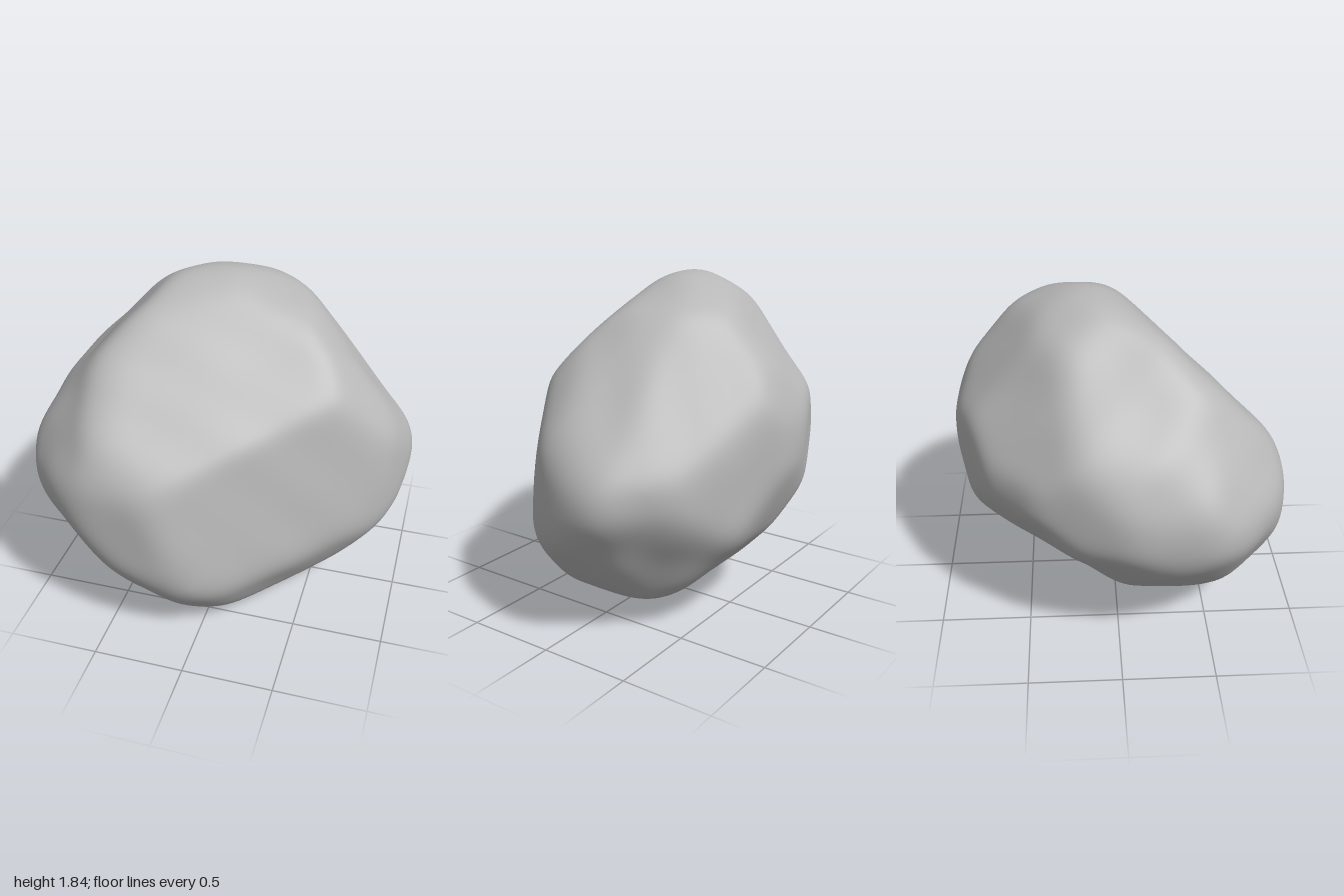
import * as THREE from 'three';
import { mergeVertices } from 'three/addons/utils/BufferGeometryUtils.js';

const CENTRE_Y = 0.915;
const D = Math.SQRT1_2, S = 0.354, C = 0.866;
const WEAR = 1.01; // spare stone, lost again when the edges are worn down

// Flat cuts that carve the boulder, each a normal and a distance from the middle
const cuts = [];
const addCut = (x, y, z, distance) => {
  cuts.push({ normal: new THREE.Vector3(x, y, z).normalize(), distance: distance * WEAR });
};

// A ring of evenly turned cuts, from axis u towards axis v
function addRing(u, v, distances) {
  distances.forEach((distance, i) => {
    const angle = (i / distances.length) * Math.PI * 2;
    const [x, y, z] = u.map((c, k) => c * Math.cos(angle) + v[k] * Math.sin(angle));
    addCut(x, y, z, distance);
  });
}

// Rings round the three main axes
addRing([1, 0, 0], [0, 1, 0], [1, .91, .82, .85, .915, .95, .87, .96, 1, .98, .86, .85, .915, .89, .94, 1.01]);
addRing([0, 0, 1], [0, 1, 0], [.87, .83, .75, .81, .915, .93, .93, .89, .87, .82, .8, .83, .915, 1.01, 1.06, .97]);
addRing([1, 0, 0], [0, 0, 1], [1, .88, .735, .76, .87, 1.02, 1.09, 1.1, 1, .91, .9, .84, .87, .85, .94, 1.03]);
// Tilted rings across the corners
addRing([D, 0, -D], [-S, C, -S], [.97, .905, .93, .925, 1.09, 1.01, .95, .945]);
addRing([-D, 0, D], [S, C, S], [1.08, .905, .77, .82, .97, .865, .78, .955]);
addRing([-D, 0, -D], [S, C, -S], [.87, .855, .91, .8, .76, .955, .99, .82]);
// Broad faces either side of the front ridge
addCut(.35, 1, 1, .61);
addCut(.56, .14, .815, .61);
// Upper corners: back left, front left, back right
addCut(-.61, .5, -.61, .84);
addCut(-.61, .5, .61, .95);
addCut(.61, .5, -.61, .82);
// Lower corners: front left, front right, back right
addCut(-.61, -.5, .61, 1.01);
addCut(.61, -.5, .61, .83);
addCut(.61, -.5, -.61, .89);
// Undercut at the back left
addCut(-.61, -.5, -.61, .76);
addCut(-.52, -.67, -.52, .71);

// Distance from the middle to the nearest cut in direction d
function radius(d) {
  let r = Infinity;
  for (const { normal, distance } of cuts) {
    const facing = normal.dot(d);
    if (facing > 0) r = Math.min(r, distance / facing);
  }
  return r;
}

// Wear the edges down by averaging each vertex with its neighbours
function wear(geometry, rounds) {
  const p = geometry.attributes.position, index = geometry.index.array;
  const near = Array.from({ length: p.count }, () => new Set());
  for (let i = 0; i < index.length; i += 3) {
    for (let k = 0; k < 3; k++) {
      near[index[i + k]].add(index[i + (k + 1) % 3]).add(index[i + (k + 2) % 3]);
    }
  }
  for (let n = 0; n < rounds; n++) {
    const old = p.array.slice();
    near.forEach((set, i) => {
      for (let c = 0; c < 3; c++) {
        let sum = 0;
        for (const j of set) sum += old[j * 3 + c];
        p.array[i * 3 + c] = 0.4 * old[i * 3 + c] + 0.6 * sum / set.size;
      }
    });
  }
}

// Shallow weathering lumps
function lump({ x, y, z }) {
  return 0.008 * Math.sin(9 * x + 4 * y) * Math.sin(8 * y - 5 * z + 1) * Math.sin(10 * z + 3 * x + 2);
}

// Move every vertex along its line from the middle
function scaleVertices(geometry, factor) {
  const p = geometry.attributes.position, d = new THREE.Vector3();
  for (let i = 0; i < p.count; i++) {
    d.fromBufferAttribute(p, i);
    d.multiplyScalar(factor(d));
    p.setXYZ(i, d.x, d.y, d.z);
  }
}

export function createModel() {
  const group = new THREE.Group();
  group.name = 'boulder';
  const stone = new THREE.MeshStandardMaterial({ color: 0xb8b8b8 });
  stone.name = 'grey stone';

  // Welded sphere, pushed out to the cuts
  const sphere = new THREE.IcosahedronGeometry(1, 32);
  sphere.deleteAttribute('uv');
  sphere.deleteAttribute('normal');
  const geometry = mergeVertices(sphere, 1e-4);
  scaleVertices(geometry, radius);
  wear(geometry, 12);
  scaleVertices(geometry, (d) => 1 + lump(d));
  geometry.computeVertexNormals();

  const rock = new THREE.Mesh(geometry, stone);
  rock.name = 'rock';
  rock.position.y = CENTRE_Y;
  group.add(rock);
  return group;
}
